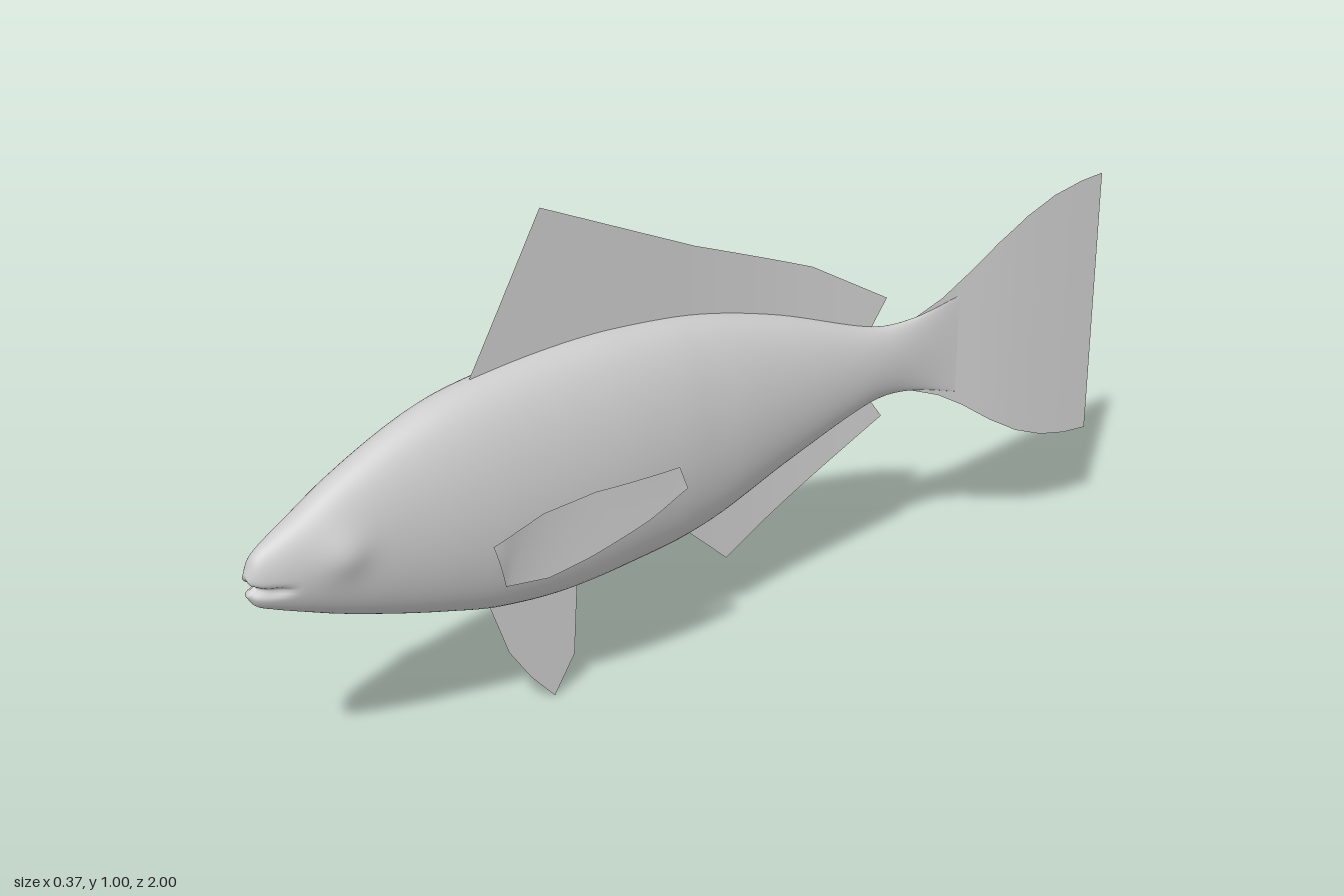
import * as THREE from 'three';

// Body stations: z, top y, bottom y, half width
const STATIONS = [
  [1.0, 0.488, 0.447, 0.012], [0.985, 0.518, 0.425, 0.024], [0.95, 0.543, 0.407, 0.037],
  [0.9, 0.572, 0.386, 0.05], [0.82, 0.62, 0.354, 0.064], [0.7, 0.677, 0.313, 0.08],
  [0.6, 0.71, 0.283, 0.094], [0.5, 0.726, 0.257, 0.104], [0.35, 0.736, 0.239, 0.113],
  [0.2, 0.734, 0.243, 0.114], [0, 0.71, 0.265, 0.104], [-0.2, 0.66, 0.335, 0.08],
  [-0.4, 0.592, 0.411, 0.042], [-0.47, 0.578, 0.425, 0.028], [-0.55, 0.585, 0.418, 0.014],
  [-0.64, 0.61, 0.395, 0.001],
];
// Sideways bend of the fish: z, x
const SPINE = [
  [1, 0.02], [0.82, 0.018], [0.6, 0.015], [0.5, 0.0135], [0.3, 0.006], [0.1, 0], [0, -0.004],
  [-0.2, 0], [-0.4, 0.022], [-0.6, 0.052], [-0.75, 0.08], [-0.9, 0.095], [-1, 0.1],
];

// Smooth interpolation in a table sorted by falling z
function sample(table, z, col) {
  const last = table.length - 1;
  let i = 0;
  while (i < last - 1 && z < table[i + 1][0]) i++;
  const slope = (k) => {
    const a = table[Math.max(k - 1, 0)], b = table[Math.min(k + 1, last)];
    return (b[col] - a[col]) / (b[0] - a[0]);
  };
  const [p, q] = [table[i], table[i + 1]];
  const d = q[0] - p[0];
  const t = THREE.MathUtils.clamp((z - p[0]) / d, 0, 1);
  const t2 = t * t, t3 = t2 * t;
  return (2 * t3 - 3 * t2 + 1) * p[col] + (t3 - 2 * t2 + t) * d * slope(i)
    + (3 * t2 - 2 * t3) * q[col] + (t3 - t2) * d * slope(i + 1);
}
const spineX = (z) => sample(SPINE, z, 1);

function makeGeometry(positions, indices) {
  const g = new THREE.BufferGeometry();
  g.setAttribute('position', new THREE.Float32BufferAttribute(positions, 3));
  g.setIndex(indices);
  g.computeVertexNormals();
  return g;
}

// Loft of oval rings with eye bulges and a mouth crease
function bodyGeometry() {
  const rings = 110, sides = 72, cap = 5, pos = [], idx = [];
  for (let i = 0; i <= rings + cap; i++) {
    const shrink = Math.min(i / cap, 1);
    const t = Math.max(i - cap, 0) / rings;
    const z0 = 1 - 1.64 * Math.pow(t, 1.5);
    const top = sample(STATIONS, z0, 1), bottom = sample(STATIONS, z0, 2);
    const half = sample(STATIONS, z0, 3);
    for (let j = 0; j < sides; j++) {
      const a = (j / sides) * Math.PI * 2;
      const y = (top + bottom) / 2 + (top - bottom) / 2 * Math.cos(a) * shrink;
      let x = half * Math.sin(a) * shrink;
      // eyes
      x += Math.sign(Math.sin(a)) * Math.abs(Math.sin(a)) * 0.014
        * Math.exp(-(((z0 - 0.835) / 0.045) ** 2) - ((y - 0.5) / 0.045) ** 2);
      // mouth line, drooping toward the corners
      const line = 0.466 - Math.min(Math.abs(x), 0.05) * 0.4;
      const crease = Math.exp(-(((y - line) / 0.009) ** 2)) * THREE.MathUtils.smoothstep(z0, 0.91, 0.97);
      x *= 1 - 0.22 * crease;
      pos.push(x + spineX(z0), y, z0 - 0.018 * crease);
    }
  }
  for (let i = 0; i < rings + cap; i++) {
    for (let j = 0; j < sides; j++) {
      const k = (j + 1) % sides;
      const a = i * sides + j, b = i * sides + k, c = a + sides, d = b + sides;
      idx.push(a, b, c, b, d, c);
    }
  }
  return makeGeometry(pos, idx);
}

// Thin fin ruled between two edges; rows are [zA, yA, zB, yB]
function finGeometry(rows, xAt = spineX, along = 8, across = 8) {
  const pos = [], idx = [];
  const count = (rows.length - 1) * along;
  for (let i = 0; i <= count; i++) {
    const k = Math.min(Math.floor(i / along), rows.length - 2);
    const t = i / along - k;
    const [zA, yA, zB, yB] = rows[k].map((v, c) => THREE.MathUtils.lerp(v, rows[k + 1][c], t));
    for (let j = 0; j <= across; j++) {
      const s = j / across;
      const z = THREE.MathUtils.lerp(zA, zB, s), y = THREE.MathUtils.lerp(yA, yB, s);
      pos.push(xAt(z, s), y, z);
      if (i < count && j < across) {
        const a = i * (across + 1) + j, c = a + across + 1;
        idx.push(a, c, a + 1, a + 1, c, c + 1);
      }
    }
  }
  return makeGeometry(pos, idx);
}

export function createModel() {
  const fish = new THREE.Group();
  fish.name = 'fish';
  const skin = new THREE.MeshStandardMaterial({ color: 0xcccccc });
  const membrane = new THREE.MeshStandardMaterial({ color: 0xcccccc, side: THREE.DoubleSide });
  const add = (name, geometry, material = membrane) => {
    const mesh = new THREE.Mesh(geometry, material);
    mesh.name = name;
    fish.add(mesh);
  };

  add('body', bodyGeometry(), skin);

  add('dorsalFin', finGeometry([
    [0.525, 0.725, 0.52, 0.70], [0.36, 1.01, 0.36, 0.71], [0, 0.85, 0, 0.68],
    [-0.285, 0.743, -0.285, 0.60], [-0.465, 0.64, -0.425, 0.575],
  ]));

  add('tailFin', finGeometry([
    [-0.52, 0.575, -0.52, 0.425], [-0.6, 0.612, -0.6, 0.395], [-0.66, 0.655, -0.66, 0.36],
    [-0.73, 0.71, -0.73, 0.311], [-0.8, 0.755, -0.8, 0.27], [-0.87, 0.787, -0.87, 0.243],
    [-0.94, 0.804, -0.94, 0.229], [-1, 0.81, -1, 0.225],
  ]));

  add('analFin', finGeometry([
    [0.035, 0.265, 0.03, 0.29], [-0.08, 0.16, -0.08, 0.32], [-0.46, 0.38, -0.425, 0.43],
  ]));

  add('pelvicFin', finGeometry([
    [0.5, 0.25, 0.5, 0.27], [0.46, 0.14, 0.46, 0.265], [0.41, 0.067, 0.42, 0.26],
    [0.355, 0.005, 0.37, 0.26], [0.305, 0.08, 0.32, 0.26], [0.295, 0.23, 0.295, 0.26],
  ]));

  // Side fins: upper and lower edge, sweeping outward toward the rear
  const sideRows = [
    [0.555, 0.44, 0.517, 0.337], [0.46, 0.487, 0.44, 0.342], [0.36, 0.508, 0.36, 0.372],
    [0.27, 0.512, 0.25, 0.42], [0.183, 0.513, 0.165, 0.465],
  ];
  const upperX = [[0.555, 0.085], [0.46, 0.115], [0.36, 0.146], [0.27, 0.17], [0.165, 0.186]];
  const lowerX = [[0.517, 0.065], [0.44, 0.1], [0.36, 0.134], [0.25, 0.17], [0.165, 0.186]];
  for (const [name, side, shift] of [['leftPectoralFin', 1, 0.034], ['rightPectoralFin', -1, 0]]) {
    add(name, finGeometry(sideRows, (z, s) => {
      const out = THREE.MathUtils.lerp(sample(upperX, z, 1), sample(lowerX, z, 1), s);
      return side * (out + shift * THREE.MathUtils.clamp((z - 0.17) / 0.37, 0, 1));
    }));
  }
  return fish;
}
